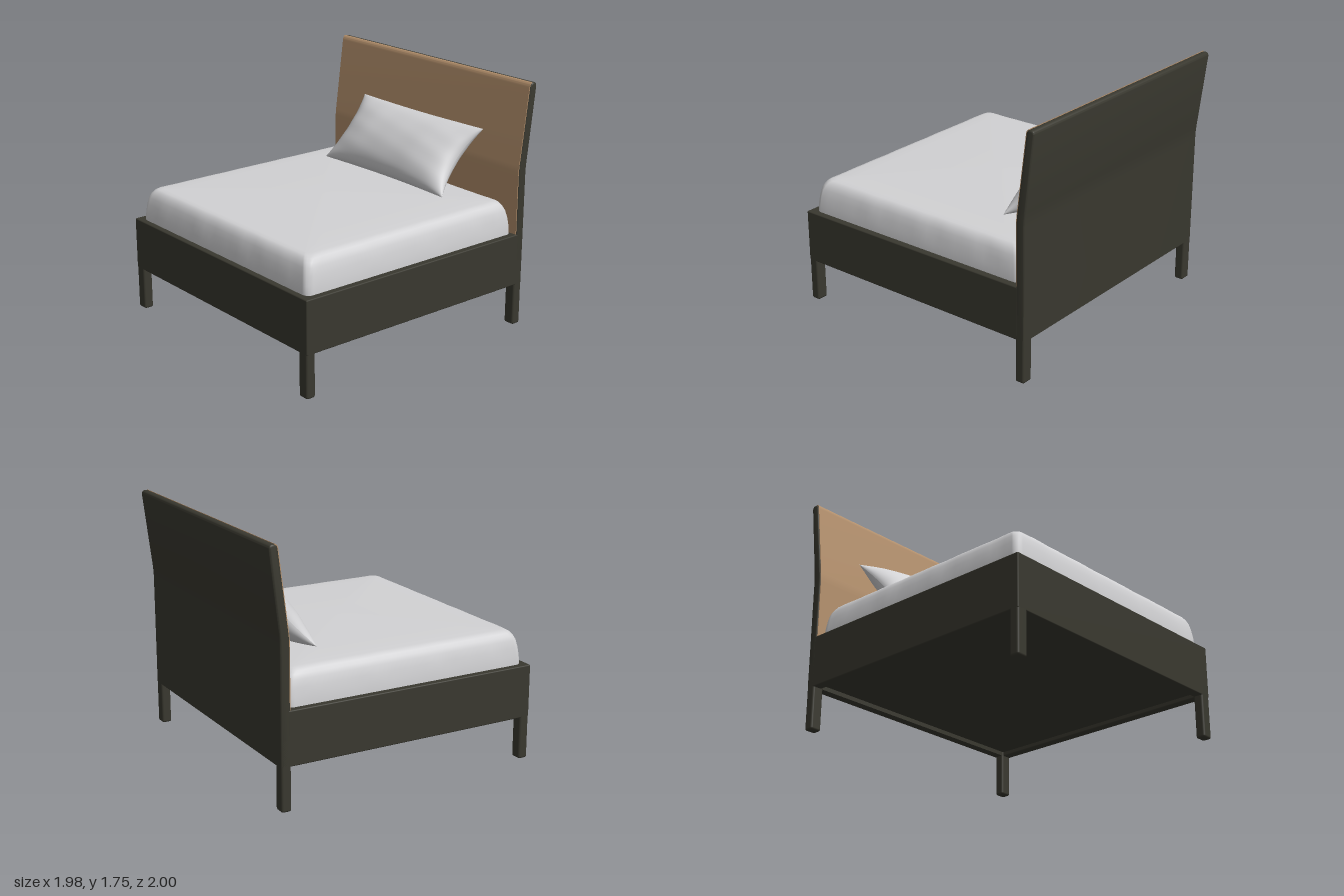
import * as THREE from 'three';
import { RoundedBoxGeometry } from 'three/addons/geometries/RoundedBoxGeometry.js';
import { mergeVertices, toCreasedNormals } from 'three/addons/utils/BufferGeometryUtils.js';

const mat = (name, color) => {
  const m = new THREE.MeshStandardMaterial({ color });
  m.name = name;
  return m;
};

export function createModel() {
  const bed = new THREE.Group();
  bed.name = 'bed';
  const darkWood = mat('darkWood', 0x39382f);
  const tanPanel = mat('tanPanel', 0xb5916d);
  const linen = mat('linen', 0xd2d2d4);

  const add = (name, geometry, material) => {
    const mesh = new THREE.Mesh(geometry, material);
    mesh.name = name;
    bed.add(mesh);
    return mesh;
  };
  // rounded box given by its min and max corners
  const box = (name, [x0, y0, z0], [x1, y1, z1], r = 0.008) =>
    add(name, new RoundedBoxGeometry(x1 - x0, y1 - y0, z1 - z0, 2, r), darkWood)
      .position.set((x0 + x1) / 2, (y0 + y1) / 2, (z0 + z1) / 2);

  // frame rails, base panel and legs
  box('frontRail', [-0.99, 0.305, 0.93], [0.99, 0.68, 1]);
  box('basePanel', [-0.94, 0.335, -0.88], [0.94, 0.375, 0.94]);
  for (const [side, s] of [['left', 1], ['right', -1]]) {
    const span = (a, b) => (s > 0 ? [a, b] : [-b, -a]);
    const [rx0, rx1] = span(0.92, 0.99);
    const [lx0, lx1] = span(0.905, 0.99);
    box(side + 'Rail', [rx0, 0.305, -0.88], [rx1, 0.68, 0.99]);
    box(side + 'FrontLeg', [lx0, 0, 0.93], [lx1, 0.4, 1], 0.015);
    box(side + 'BackLeg', [lx0, 0, -0.93], [lx1, 0.5, -0.86], 0.015);
  }

  // side profile (z, y) extruded across the width
  const across = (shape, width, bevel) => {
    const g = new THREE.ExtrudeGeometry(shape, {
      depth: width - 2 * bevel, bevelEnabled: bevel > 0, bevelThickness: bevel,
      bevelSize: bevel, bevelOffset: -bevel, bevelSegments: 3, curveSegments: 8,
    });
    g.rotateY(-Math.PI / 2);
    g.translate(width / 2 - bevel, 0, 0);
    return toCreasedNormals(g, 0.6);
  };

  // headboard: upright below, leaning back above
  const board = new THREE.Shape();
  board.moveTo(-0.864, 0.305);
  board.lineTo(-0.864, 1.1);
  board.quadraticCurveTo(-0.864, 1.14, -0.869, 1.18);
  board.lineTo(-0.937, 1.715);
  board.quadraticCurveTo(-0.941, 1.752, -0.97, 1.752);
  board.quadraticCurveTo(-1, 1.752, -0.998, 1.72);
  board.lineTo(-0.936, 1.2);
  board.quadraticCurveTo(-0.93, 1.15, -0.93, 1.1);
  board.lineTo(-0.93, 0.305);
  add('headboard', across(board, 1.98, 0.012), darkWood);

  // thin facing over the front and upper edge of the headboard
  const facing = new THREE.Shape();
  facing.moveTo(-0.86, 0.66);
  facing.lineTo(-0.86, 1.1);
  facing.quadraticCurveTo(-0.86, 1.14, -0.865, 1.18);
  facing.lineTo(-0.933, 1.717);
  facing.quadraticCurveTo(-0.937, 1.75, -0.957, 1.754);
  facing.lineTo(-0.957, 1.746);
  facing.quadraticCurveTo(-0.938, 1.745, -0.939, 1.715);
  facing.lineTo(-0.87, 1.18);
  facing.lineTo(-0.866, 1.1);
  facing.lineTo(-0.866, 0.66);
  add('headboardFacing', across(facing, 1.966, 0), tanPanel);

  // mattress: stacked rounded-rectangle rings [y, inset], closed by a crowned top
  const rings = [[0.38, 0], [0.68, 0], [0.74, 0.003], [0.8, 0.011], [0.85, 0.022], [0.88, 0.036],
    [0.9, 0.052], [0.912, 0.07], [0.918, 0.1], [0.922, 0.2], [0.927, 0.4], [0.932, 0.65], [0.935, 0.9]];
  const edge = 28, arc = 5, perimeter = 4 * (edge + arc);
  const ringPoint = (k, hx, hz, r) => {
    const q = Math.floor(k / (edge + arc)), i = k % (edge + arc);
    // corner centres, counterclockwise seen from above
    const c = [[1, 1], [1, -1], [-1, -1], [-1, 1]].map(([a, b]) => [a * (hx - r), b * (hz - r)]);
    const onArc = (n, a) => [c[n][0] + r * Math.sin(a), c[n][1] + r * Math.cos(a)];
    const start = q * Math.PI / 2;
    if (i < arc) return onArc(q, start + (i / arc) * Math.PI / 2);
    const a = onArc(q, start + Math.PI / 2), b = onArc((q + 1) % 4, start + Math.PI / 2);
    const t = (i - arc) / edge;
    return [a[0] + (b[0] - a[0]) * t, a[1] + (b[1] - a[1]) * t];
  };
  const pos = [], idx = [];
  rings.forEach(([y, inset], j) => {
    const hx = 0.945 - inset, hz = 0.91 - inset * 0.95;
    for (let k = 0; k < perimeter; k++) {
      const [x, z] = ringPoint(k, hx, hz, Math.min(0.05, hz * 0.5));
      // soft folds on the sides
      const fold = j > 1 && j < 8 ? 1 + 0.003 * Math.sin(k * 1.3 + y * 9) * Math.sin(k * 0.37) : 1;
      pos.push(x * fold, y, z * fold + 0.05);
      if (j) {
        const n = (k + 1) % perimeter, a = (j - 1) * perimeter, b = j * perimeter;
        idx.push(a + k, a + n, b + n, a + k, b + n, b + k);
      }
    }
  });
  const top = pos.length / 3, last = top - perimeter;
  pos.push(0, 0.935, 0.05);
  for (let k = 0; k < perimeter; k++) idx.push(last + k, last + (k + 1) % perimeter, top);
  const mattress = new THREE.BufferGeometry();
  mattress.setAttribute('position', new THREE.Float32BufferAttribute(pos, 3));
  mattress.setIndex(idx);
  mattress.computeVertexNormals();
  add('mattress', mattress, linen);

  // pillow: two puffed faces meeting at a pinched outline, leaning on the headboard
  const face = (dir) => {
    const g = new THREE.PlaneGeometry(2, 2, 48, 32);
    const p = g.attributes.position;
    for (let i = 0; i < p.count; i++) {
      const s = Math.sin(p.getX(i) * Math.PI / 2), t = Math.sin(p.getY(i) * Math.PI / 2);
      const puff = Math.sqrt(Math.max(0, (1 - s * s) ** 1.2 * (1 - t * t)));
      const full = Math.min(1, Math.sqrt(Math.max(0, 1 - s ** 4))) * Math.sqrt(Math.max(0, 1 - t * t));
      const crease = 0.006 * puff * Math.sin(9 * s + 5 * t) * Math.sin(7 * t - 4 * s) * (s * s + 0.3);
      p.setXYZ(i, s * (0.635 - 0.075 * (1 - t * t)), t * (0.285 - 0.015 * (1 - s * s)),
        dir * (0.15 * (0.35 * puff + 0.65 * full) + crease));
    }
    if (dir < 0) {
      const ix = g.index.array;
      for (let i = 0; i < ix.length; i += 3) [ix[i], ix[i + 1]] = [ix[i + 1], ix[i]];
    }
    g.deleteAttribute('normal');
    g.deleteAttribute('uv');
    const m = mergeVertices(g);
    m.computeVertexNormals();
    return m;
  };
  const pillow = new THREE.Group();
  pillow.name = 'pillow';
  pillow.add(add('pillowFront', face(1), linen), add('pillowBack', face(-1), linen));
  pillow.position.set(0, 1.155, -0.67);
  pillow.rotation.x = -0.735;
  bed.add(pillow);

  return bed;
}
